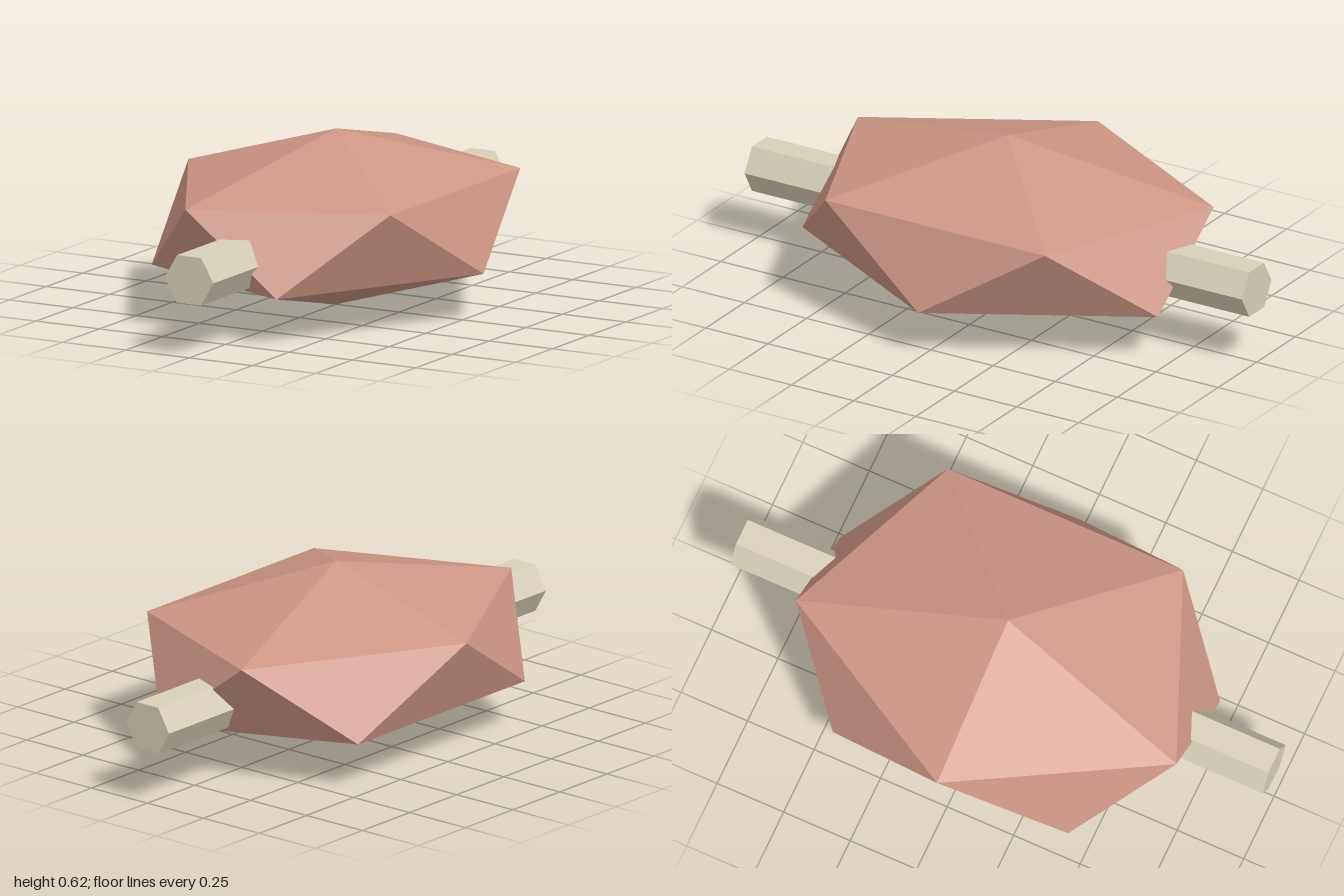
import * as THREE from 'three';

// Faceted gem body: two staggered five-sided rings between a top and a bottom point
function gemGeometry(rx, rz, height) {
  const mid = height / 2, ringRise = mid / Math.sqrt(5);
  const ringPoint = (i, offset, y) => {
    const a = (i + offset) * Math.PI * 2 / 5;
    return [rx * Math.cos(a), y, rz * Math.sin(a)];
  };
  const upper = i => ringPoint(i, 0.5, mid + ringRise);
  const lower = i => ringPoint(i, 0, mid - ringRise);
  const top = [0, height, 0], bottom = [0, 0, 0];
  const points = [];
  for (let i = 0; i < 5; i++) {
    points.push(
      top, upper(i + 1), upper(i),
      lower(i), upper(i), lower(i + 1),
      upper(i), upper(i + 1), lower(i + 1),
      bottom, lower(i), lower(i + 1)
    );
  }
  const geometry = new THREE.BufferGeometry();
  geometry.setAttribute('position', new THREE.Float32BufferAttribute(points.flat(), 3));
  geometry.computeVertexNormals();
  return geometry;
}

export function createModel() {
  const group = new THREE.Group();

  const body = new THREE.Mesh(
    gemGeometry(0.583, 0.752, 0.615),
    new THREE.MeshStandardMaterial({ color: 0xcd9684, flatShading: true })
  );
  body.name = 'facetedBody';
  group.add(body);

  // Hexagonal rod running through the body from front to back, flat side up
  const rodGeometry = new THREE.CylinderGeometry(0.096, 0.096, 2, 6);
  rodGeometry.rotateY(Math.PI / 6).rotateX(Math.PI / 2);
  const rod = new THREE.Mesh(
    rodGeometry,
    new THREE.MeshStandardMaterial({ color: 0xd8d0b8, flatShading: true })
  );
  rod.name = 'hexRod';
  rod.position.y = 0.271;
  group.add(rod);

  return group;
}
